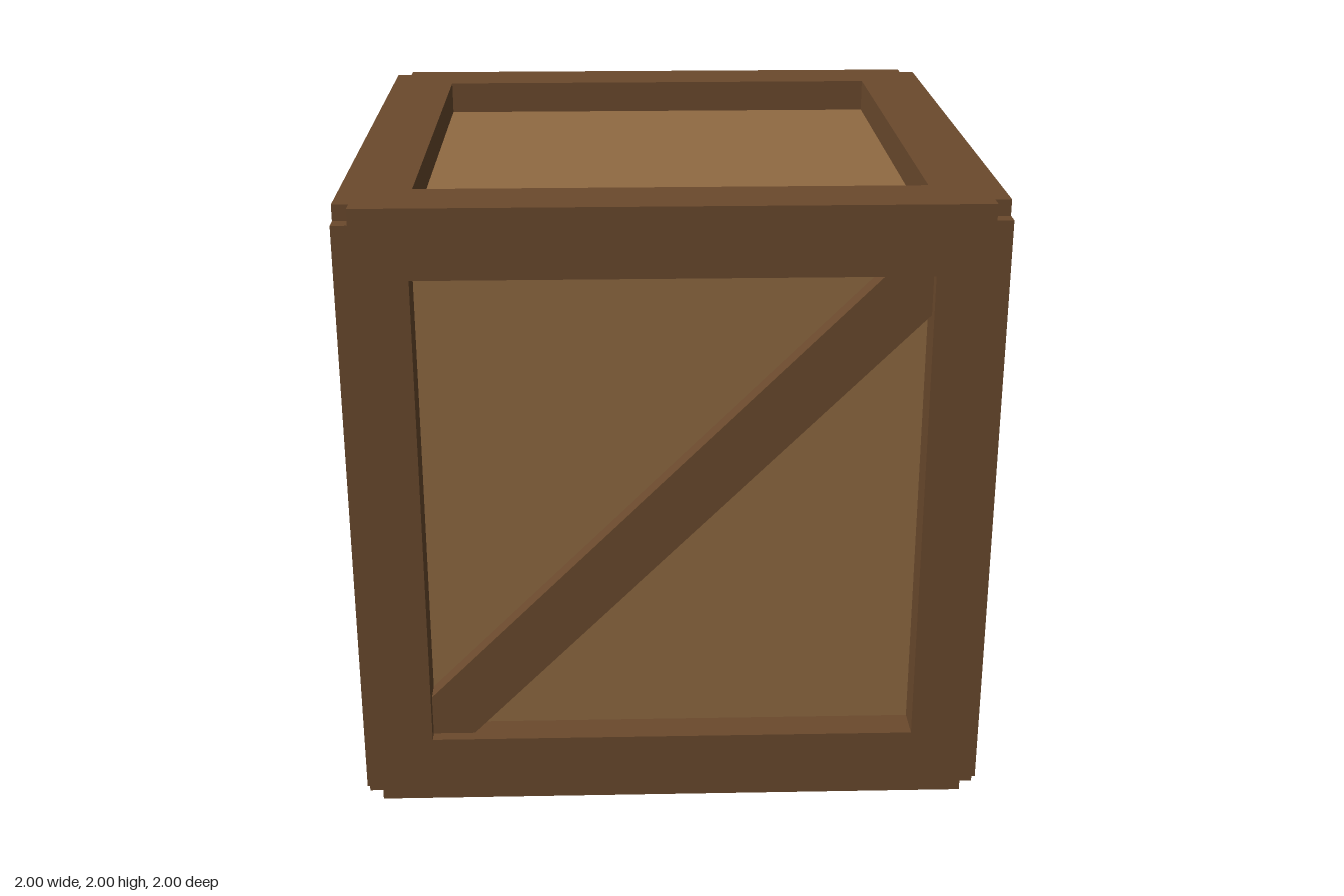
import * as THREE from 'three';

export function createModel() {
  const model = new THREE.Group();
  model.name = 'crate';

  const frameWood = new THREE.MeshStandardMaterial({ color: 0x6b4a2d });
  frameWood.name = 'dark frame wood';
  const panelWood = new THREE.MeshStandardMaterial({ color: 0x906a42 });
  panelWood.name = 'light panel wood';

  const beam = 0.22;            // square section of the frame beams
  const length = 1.9;           // short of the full side, leaving small corner notches
  const offset = 1 - beam / 2;  // beam centre line from the crate centre

  function addBox(name, size, position, material, parent) {
    const mesh = new THREE.Mesh(new THREE.BoxGeometry(...size), material);
    mesh.name = name;
    mesh.position.set(...position);
    parent.add(mesh);
    return mesh;
  }

  // Inner box whose six sides are the recessed panels
  addBox('panels', [1.78, 1.78, 1.78], [0, 1, 0], panelWood, model);

  // Twelve edge beams, four along each axis
  const frame = new THREE.Group();
  frame.name = 'frame';
  frame.position.y = 1;
  model.add(frame);
  ['widthBeam', 'uprightBeam', 'depthBeam'].forEach((name, axis) => {
    for (const a of [-1, 1]) {
      for (const b of [-1, 1]) {
        const size = [beam, beam, beam];
        const position = [0, 0, 0];
        size[axis] = length;
        position[(axis + 1) % 3] = a * offset;
        position[(axis + 2) % 3] = b * offset;
        addBox(name, size, position, frameWood, frame);
      }
    }
  });

  // Diagonal braces on the front and back, ends buried in the frame
  for (const [name, side] of [['frontBrace', 1], ['backBrace', -1]]) {
    const brace = addBox(name, [2.3, 0.19, 0.12], [0, 1, side * 0.9], frameWood, model);
    brace.rotation.z = Math.PI / 4;
  }

  return model;
}
